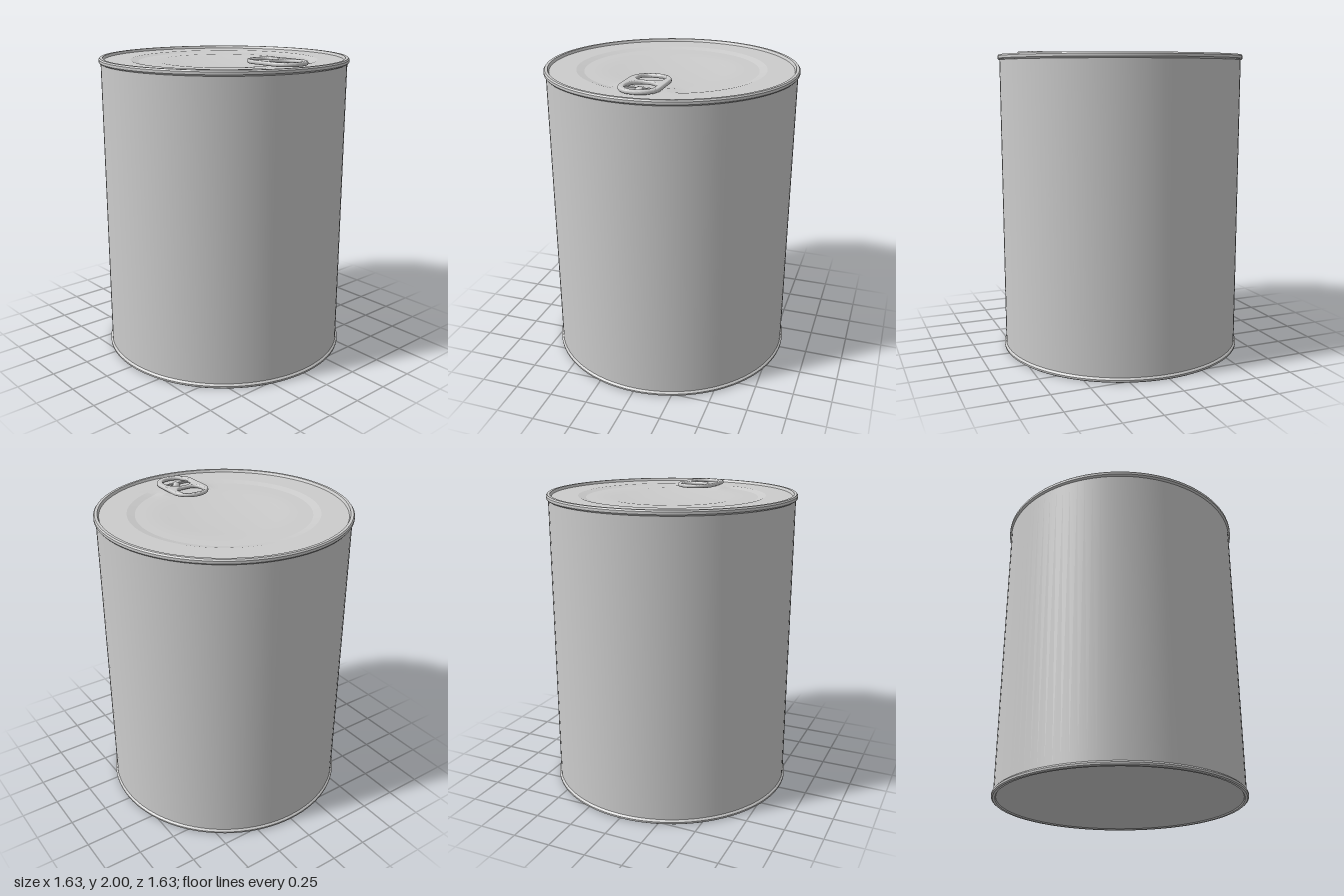
import * as THREE from 'three';
import { toCreasedNormals } from 'three/addons/utils/BufferGeometryUtils.js';

const metal = new THREE.MeshStandardMaterial({ color: 0xcccccc });
const SEGMENTS = 96;

function part(name, geometry, parent) {
  const mesh = new THREE.Mesh(geometry, metal);
  mesh.name = name;
  parent.add(mesh);
  return mesh;
}

// Surface of revolution from [radius, height] pairs
function lathe(profile) {
  return new THREE.LatheGeometry(profile.map(([r, y]) => new THREE.Vector2(r, y)), SEGMENTS);
}

// Rounded rectangle outline; a path when it is a hole
function roundedOutline(Type, halfWidth, y0, y1, r) {
  const p = new Type();
  const w = halfWidth;
  p.moveTo(-w + r, y0);
  p.lineTo(w - r, y0);
  p.absarc(w - r, y0 + r, r, -Math.PI / 2, 0);
  p.lineTo(w, y1 - r);
  p.absarc(w - r, y1 - r, r, 0, Math.PI / 2);
  p.lineTo(-w + r, y1);
  p.absarc(-w + r, y1 - r, r, Math.PI / 2, Math.PI);
  p.lineTo(-w, y0 + r);
  p.absarc(-w + r, y0 + r, r, Math.PI, Math.PI * 1.5);
  return p;
}

// Lid pressed in two steps with a shallow bowl; the steps fade out under the tab
function lidGeometry() {
  const flat = 1.968;
  const profile = [[0.79, 1.985], [0.782, flat], [0.7, flat], [0.61, flat], [0.56, 1.957],
    [0.5, 1.957], [0.43, 1.957], [0.36, 1.951], [0.27, 1.945], [0.18, 1.941], [0.09, 1.939], [0, 1.938]];
  const geometry = lathe(profile);
  const pos = geometry.attributes.position;
  for (let i = 0; i < pos.count; i++) {
    const x = pos.getX(i), y = pos.getY(i), z = pos.getZ(i);
    if (z < 0.4 || y > flat) continue;
    const blend = (1 - THREE.MathUtils.smoothstep(Math.abs(x), 0.13, 0.24))
      * THREE.MathUtils.smoothstep(z, 0.42, 0.48);
    pos.setY(i, THREE.MathUtils.lerp(y, flat, blend));
  }
  return toCreasedNormals(geometry, 0.12);
}

// Flat shape with holes, bevelled, laid down so that shape y becomes z
function tabGeometry() {
  const bevel = 0.01;
  const shape = roundedOutline(THREE.Shape, 0.12, 0.30, 0.695, 0.115);
  shape.holes.push(
    roundedOutline(THREE.Path, 0.095, 0.31, 0.465, 0.06),
    roundedOutline(THREE.Path, 0.1, 0.47, 0.68, 0.095));
  const geometry = new THREE.ExtrudeGeometry(shape, {
    depth: 0.008, bevelEnabled: true, bevelThickness: 0.009, bevelSize: bevel,
    bevelSegments: 3, curveSegments: 12,
  });
  geometry.rotateX(Math.PI / 2);
  geometry.translate(0, 2 - 0.009, 0);
  return toCreasedNormals(geometry, 0.7);
}

export function createModel() {
  const model = new THREE.Group();
  model.name = 'tinCan';

  // Base, lower bead, wall and upper bead in one profile
  const shell = [[0, 0.008], [0.785, 0.008], [0.79, 0], [0.806, 0], [0.814, 0.006], [0.815, 0.018],
    [0.81, 0.025], [0.803, 0.03], [0.803, 1.95], [0.81, 1.953], [0.815, 1.96], [0.815, 1.976],
    [0.808, 1.985], [0.79, 1.985]];
  part('canShell', toCreasedNormals(lathe(shell), 0.6), model);
  part('lid', lidGeometry(), model);

  // Pull tab with its cross strip and rivet
  const tab = new THREE.Group();
  tab.name = 'pullTab';
  model.add(tab);
  part('tabRing', tabGeometry(), tab);

  const strip = part('crossStrip', new THREE.BoxGeometry(0.19, 0.012, 0.016), tab);
  strip.position.set(0, 1.98, 0.587);

  const rivet = part('rivet', new THREE.SphereGeometry(0.03, 20, 8, 0, Math.PI * 2, 0, Math.PI / 2), tab);
  rivet.scale.y = 0.85;
  rivet.position.set(0, 1.967, 0.587);

  return model;
}
